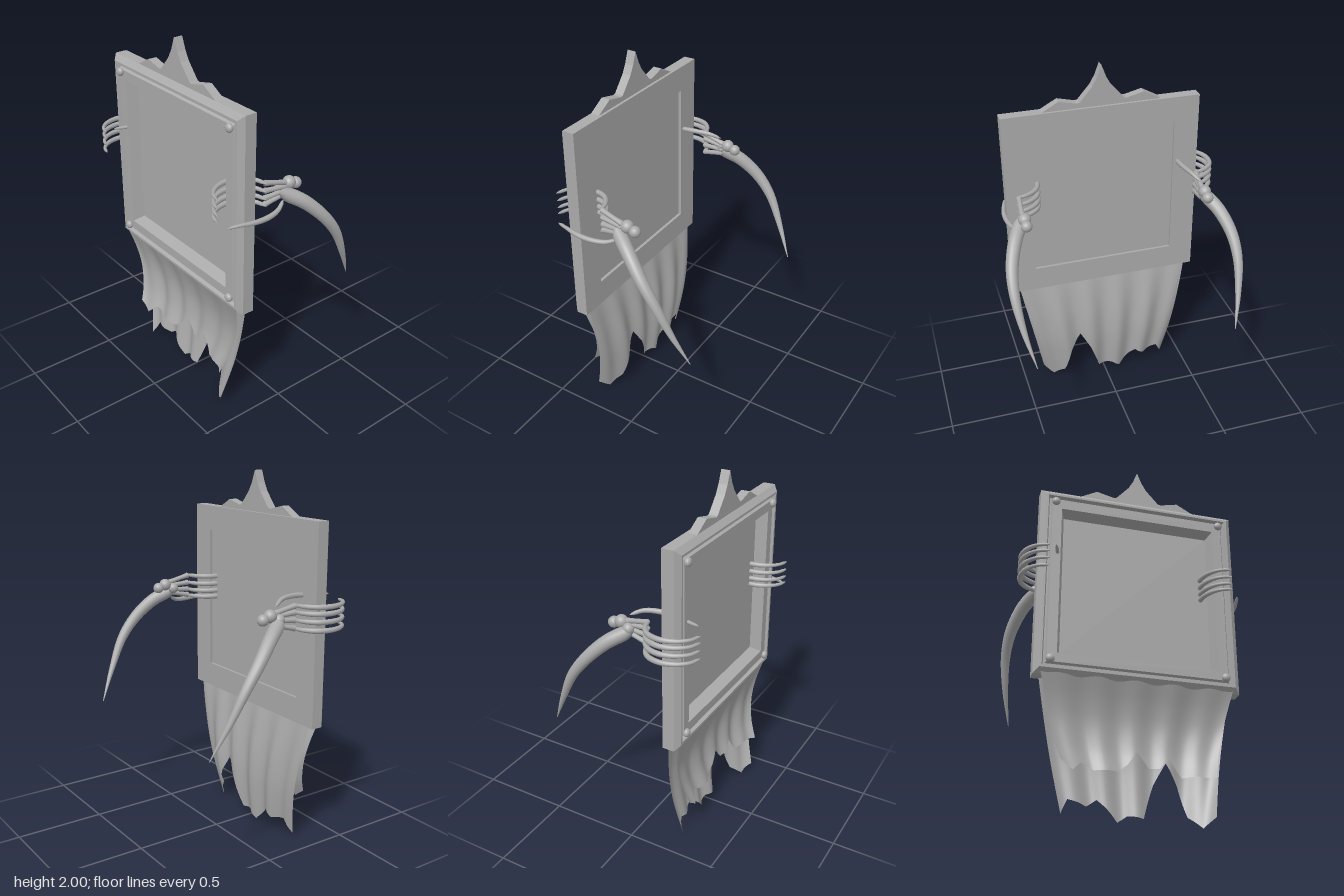
import * as THREE from 'three';

const V = (a) => new THREE.Vector3(...a);

// Tube along a smooth path, with its radius given by a rule r(t)
function taperedTube(points, r, steps = 20, sides = 10) {
  const path = new THREE.CatmullRomCurve3(points.map(V));
  const geo = new THREE.TubeGeometry(path, steps, 1, sides, false);
  const pos = geo.attributes.position, p = new THREE.Vector3();
  for (let i = 0; i <= steps; i++) {
    const c = path.getPointAt(i / steps), rad = r(i / steps);
    for (let j = 0; j <= sides; j++) {
      const k = i * (sides + 1) + j;
      p.fromBufferAttribute(pos, k).sub(c).multiplyScalar(rad).add(c);
      pos.setXYZ(k, p.x, p.y, p.z);
    }
  }
  return geo;
}

// Rectangular mitred frame: profile points are [inset, z]
function mitredFrame(hw, hh, cy, profile) {
  const corners = [[-1, -1], [1, -1], [1, 1], [-1, 1]], out = [];
  const at = (c, [d, z]) => [c[0] * (hw - d), cy + c[1] * (hh - d), z];
  corners.forEach((a, s) => {
    const b = corners[(s + 1) % 4];
    profile.forEach((p, i) => {
      const q = profile[(i + 1) % profile.length];
      const [A, B, C, D] = [at(a, p), at(b, p), at(b, q), at(a, q)];
      out.push(...A, ...B, ...C, ...A, ...C, ...D);
    });
  });
  const geo = new THREE.BufferGeometry();
  geo.setAttribute('position', new THREE.Float32BufferAttribute(out, 3));
  geo.computeVertexNormals();
  return geo;
}

// Hanging cloth with a ragged hem of [x, y] points; curls are the forward curl of the -x and +x edges
function clothSheet(hem, narrowing, depth, pleatSize, phase, curls) {
  const top = 0.73, perSpan = 8, rows = 20, spans = hem.length - 1;
  const width = (y) => 0.505 - narrowing * (top - y);
  const us = hem.map(([x, y]) => x / width(y));
  us[0] = -1;
  us[spans] = 1;
  const geo = new THREE.PlaneGeometry(2, 1, spans * perSpan, rows), pos = geo.attributes.position;
  for (let k = 0; k < pos.count; k++) {
    const col = k % (spans * perSpan + 1), i = Math.min(spans - 1, Math.floor(col / perSpan));
    const f = col / perSpan - i, v = 0.5 - pos.getY(k);
    const u = THREE.MathUtils.lerp(us[i], us[i + 1], f);
    const y = THREE.MathUtils.lerp(top, THREE.MathUtils.lerp(hem[i][1], hem[i + 1][1], f), v);
    const drop = top - y, fall = Math.min(1, drop / 0.3);
    const pleat = -pleatSize * Math.cos((2 * Math.PI * (u * 0.47 - phase)) / 0.185) * (0.3 + 0.7 * fall);
    const curl = curls[u < 0 ? 0 : 1] * u ** 6 * drop;
    pos.setXYZ(k, u * width(y), y, depth(y) + pleat * (1 - u ** 8) + curl);
  }
  geo.computeVertexNormals();
  return geo;
}

// Smooth lookup through [y, z] pairs listed from top to bottom
function depthCurve(pairs) {
  const curve = new THREE.SplineCurve(pairs.map(([y, z]) => new THREE.Vector2(y, z)));
  const pts = curve.getPoints(60);
  return (y) => {
    let i = 1;
    while (i < pts.length - 1 && y < pts[i].x) i++;
    const a = pts[i - 1], b = pts[i];
    return THREE.MathUtils.lerp(a.y, b.y, THREE.MathUtils.clamp((a.x - y) / (a.x - b.x), 0, 1));
  };
}

export function createModel() {
  const model = new THREE.Group();
  const grey = new THREE.MeshStandardMaterial({ color: 0xaaaaaa, side: THREE.DoubleSide });
  grey.name = 'plain grey';
  const add = (name, geo, parent = model) => {
    const mesh = new THREE.Mesh(geo, grey);
    mesh.name = name;
    parent.add(mesh);
    return mesh;
  };

  // Moulded picture frame and recessed panel
  const cy = 1.242;
  add('frame', mitredFrame(0.54, 0.539, cy, [
    [0, 0.233], [0, 0.297], [0.028, 0.324], [0.04, 0.324], [0.048, 0.305], [0.056, 0.305],
    [0.064, 0.318], [0.114, 0.318], [0.136, 0.257], [0.138, 0.233],
  ]));
  add('panel', new THREE.BoxGeometry(0.81, 0.81, 0.006)).position.set(0, cy, 0.254);

  // Corner studs
  for (const x of [-0.46, 0.46]) for (const y of [cy - 0.462, cy + 0.462]) {
    const stud = add('stud', new THREE.SphereGeometry(0.023, 16, 12));
    stud.position.set(x, y, 0.327);
    stud.scale.z = 0.75;
  }

  // Pointed crest
  const half = [[0.32, 1.781], [0.23, 1.83], [0.135, 1.807], [0.12, 1.81], [0.05, 1.89], [0.025, 1.935]];
  const outline = [...half, [0, 2], ...half.map(([x, y]) => [-x, y]).reverse()];
  const crest = new THREE.Shape(outline.map(([x, y]) => new THREE.Vector2(x, y)));
  add('crest', new THREE.ExtrudeGeometry(crest, { depth: 0.048, bevelEnabled: false })).position.z = 0.248;

  // Two ragged layers of cloth
  add('longCloth', clothSheet([
    [-0.37, 0.03], [-0.335, 0.11], [-0.24, 0.085], [-0.19, 0.12], [-0.09, 0.015], [-0.04, 0.05],
    [0.04, 0.04], [0.1, 0.22], [0.16, 0.33], [0.22, 0.22], [0.26, 0.06], [0.32, 0], [0.37, 0.05],
  ], 0.19, depthCurve([[0.73, 0.25], [0.6, 0.225], [0.45, 0.205], [0.3, 0.199], [0.15, 0.21], [0, 0.23]]),
  0.014, 0.1, [0.05, 0.14]));
  add('shortCloth', clothSheet([
    [-0.385, 0.28], [-0.33, 0.23], [-0.28, 0.28], [-0.22, 0.245], [-0.1, 0.25], [-0.05, 0.29], [0, 0.36],
    [0.06, 0.28], [0.11, 0.28], [0.16, 0.34], [0.22, 0.24], [0.3, 0.25], [0.375, 0.24],
  ], 0.25, depthCurve([[0.73, 0.312], [0.6, 0.266], [0.48, 0.243], [0.35, 0.25], [0.23, 0.285]]),
  0.01, 0.08, [0.1, 0.1]));

  // Bony hand in its own space, wrist near x = 0 and y = 0
  const roundEnds = (t) => Math.min(1, Math.sqrt(Math.min(t, 1 - t) * 14 + 0.02));
  const bone = (r) => (t) => r * (0.8 + 0.35 * Math.abs(2 * t - 1) ** 3) * roundEnds(t);
  const fingerRadius = (t) => (0.009 + 0.005 * Math.sin(Math.PI * Math.min(1, t * 1.15))) * roundEnds(t);
  const buildHand = () => {
    const hand = new THREE.Group();
    for (const y of [-0.063, -0.019, 0.022, 0.057]) {
      add('palmBone', taperedTube([[0.005, y * 0.45, 0], [0.002, y * 0.7, 0.06], [-0.006, y, 0.14]], bone(0.016), 14), hand);
      add('finger', taperedTube([[0.012, y, 0.133], [-0.05, y, 0.145], [-0.108, y, 0.19], [-0.13, y, 0.265],
        [-0.112, y, 0.34], [-0.065, y, 0.395], [-0.005, y, 0.417]], fingerRadius, 30, 8), hand);
    }
    add('thumb', taperedTube([[0.01, 0.06, 0.02], [0.04, 0.085, 0.08], [0.06, 0.09, 0.16], [0.063, 0.085, 0.25],
      [0.05, 0.08, 0.32], [0.032, 0.082, 0.385]], fingerRadius, 24, 8), hand);
    return hand;
  };

  // Second hand is turned upside down, its forearm mirrored
  for (const side of [-1, 1]) {
    const hand = buildHand();
    hand.name = side < 0 ? 'rightHand' : 'leftHand';
    hand.position.set(side * 0.493, 1.313, 0);
    hand.scale.y = -side;
    model.add(hand);
    // Wrist bones
    for (const [x, y, z, r] of [[0, 1.318, -0.066, 0.03], [0, 1.333, -0.022, 0.034], [-0.012, 1.31, 0.025, 0.03]]) {
      add('wristBone', new THREE.SphereGeometry(r, 16, 12)).position.set(side * 0.493 + x, y, z);
    }
    const arm = [[-0.49, 1.308, 0.05], [-0.52, 1.28, 0], [-0.56, 1.235, -0.07], [-0.6, 1.14, -0.165],
      [-0.61, 1.025, -0.25], [-0.59, 0.855, -0.335], [-0.55, 0.68, -0.42]];
    add(side < 0 ? 'rightForearm' : 'leftForearm', taperedTube(
      arm.map(([x, y, z]) => [-side * x, y, z]),
      (t) => 0.036 * Math.min(1, Math.sqrt(t * 14)) * (1 - t ** 1.8) + 0.002, 32, 14));
  }
  return model;
}
